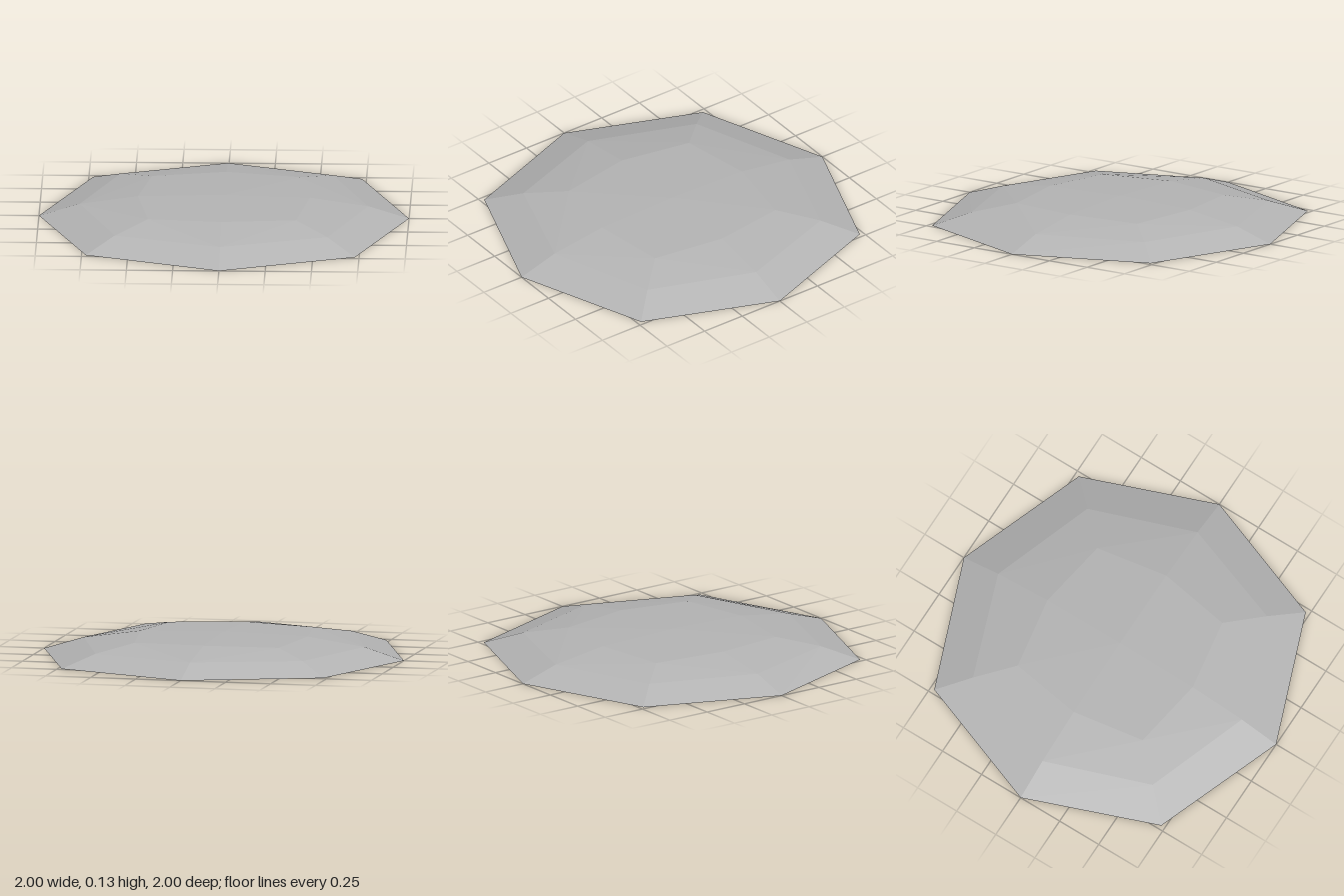
import * as THREE from 'three';

export function createModel() {
  const group = new THREE.Group();
  group.name = 'facetedDome';
  const grey = new THREE.MeshStandardMaterial({ color: 0xb4b4b4, flatShading: true });
  grey.name = 'stone grey';

  // Rings from rim to crown: axis radius and height, then diagonal offset and height
  const rings = [
    [1.0, 0, 0.727, 0],
    [0.78, 0.068, 0.575, 0.066],
    [0.465, 0.114, 0.4, 0.107],
  ].map(([axis, axisY, diagonal, diagonalY]) =>
    Array.from({ length: 8 }, (_, i) => {
      const a = (i * Math.PI) / 4;
      const r = i % 2 ? diagonal * Math.SQRT2 : axis;
      return [r * Math.cos(a), i % 2 ? diagonalY : axisY, r * Math.sin(a)];
    }));

  const addMesh = (name, triangles) => {
    const geometry = new THREE.BufferGeometry();
    geometry.setAttribute('position', new THREE.Float32BufferAttribute(triangles.flat(2), 3));
    geometry.computeVertexNormals();
    const mesh = new THREE.Mesh(geometry, grey);
    mesh.name = name;
    group.add(mesh);
  };

  const slopes = [], crown = [], base = [];
  for (let i = 0; i < 8; i++) {
    const j = (i + 1) % 8;
    // Sloping bands, split the same way on both sides of each corner
    for (let k = 0; k < 2; k++) {
      const outer = rings[k], inner = rings[k + 1];
      if (i % 2) slopes.push([inner[i], outer[j], outer[i]], [inner[i], inner[j], outer[j]]);
      else slopes.push([inner[i], inner[j], outer[i]], [inner[j], outer[j], outer[i]]);
    }
    // Shallow crown and flat underside
    crown.push([[0, 0.126, 0], rings[2][j], rings[2][i]]);
    base.push([[0, 0, 0], rings[0][i], rings[0][j]]);
  }
  addMesh('slopes', slopes);
  addMesh('crown', crown);
  addMesh('base', base);
  return group;
}
